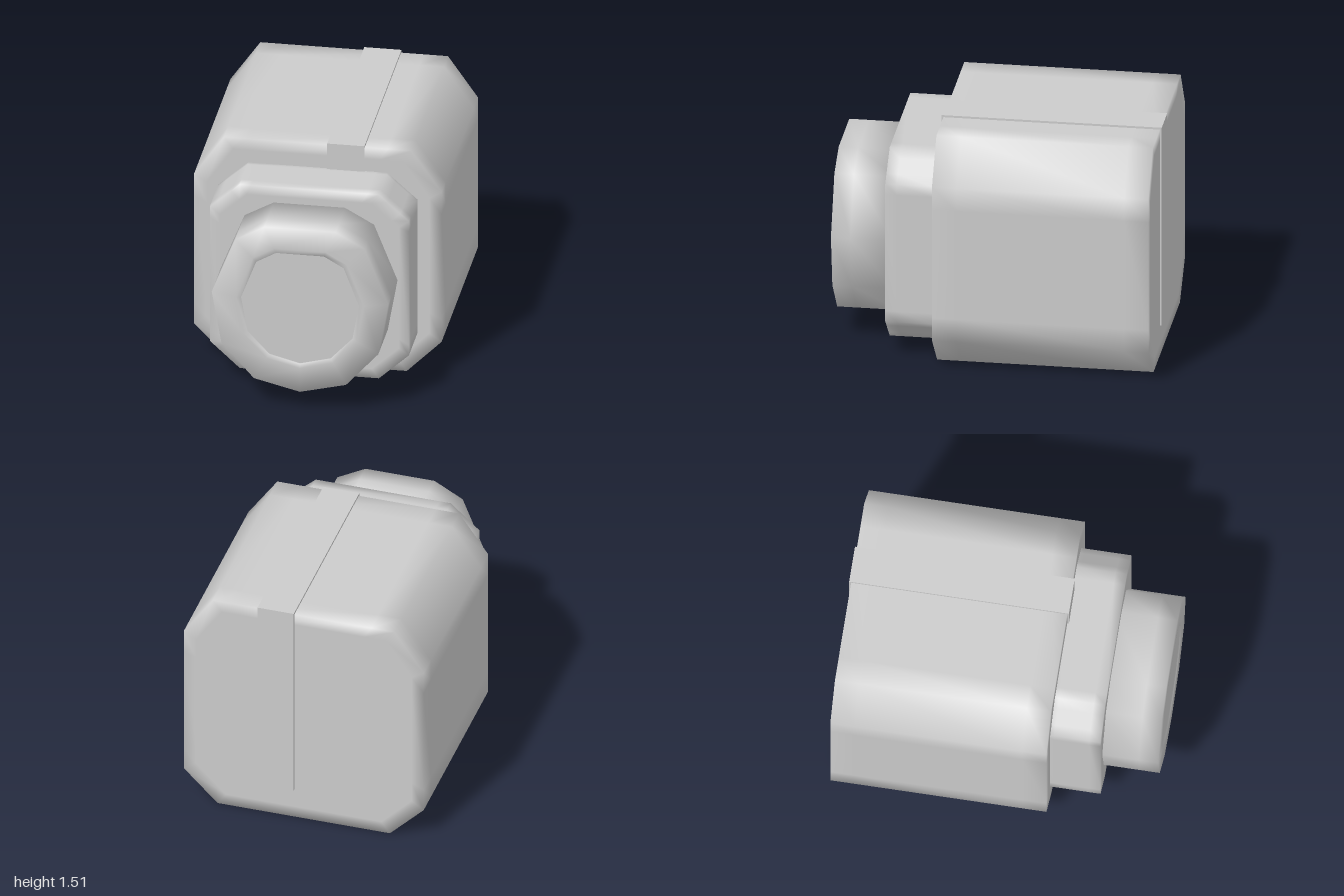
import * as THREE from 'three';

const material = new THREE.MeshStandardMaterial({ color: 0xcccccc, side: THREE.DoubleSide });

// Full outline, counter-clockwise from the front, from its right half listed top to bottom
function mirrorOutline(half) {
  const left = half.filter(([x]) => x > 0).map(([x, y]) => [-x, y]);
  return [...left, ...half.slice().reverse()];
}

// Adds points near the corners of long edges so smooth shading stays close to the corners
function addSupportPoints(outline, d) {
  const result = [];
  outline.forEach(([x, y], i) => {
    const [nx, ny] = outline[(i + 1) % outline.length];
    const t = d / Math.hypot(nx - x, ny - y);
    result.push([x, y]);
    if (t < 0.3) for (const s of [t, 1 - t]) result.push([x + (nx - x) * s, y + (ny - y) * s]);
  });
  return result;
}

function scaleOutline(outline, s, cy) {
  return outline.map(([x, y]) => [x * s, cy + (y - cy) * s]);
}

// Skins rings of { z, points } from back to front and closes both ends
function loft(name, rings, cy) {
  const n = rings[0].points.length;
  const positions = [];
  const index = [];
  for (const { z, points } of rings) for (const [x, y] of points) positions.push(x, y, z);
  for (let k = 0; k < rings.length - 1; k++) {
    for (let i = 0; i < n; i++) {
      const a = k * n + i, b = k * n + (i + 1) % n;
      index.push(a, b, b + n, a, b + n, a + n);
    }
  }
  const back = rings.length * n, front = back + 1, last = back - n;
  positions.push(0, cy, rings[0].z, 0, cy, rings[rings.length - 1].z);
  for (let i = 0; i < n; i++) {
    const j = (i + 1) % n;
    index.push(back, j, i, front, last + i, last + j);
  }
  const geometry = new THREE.BufferGeometry();
  geometry.setAttribute('position', new THREE.Float32BufferAttribute(positions, 3));
  geometry.setIndex(index);
  geometry.computeVertexNormals();
  const mesh = new THREE.Mesh(geometry, material);
  mesh.name = name;
  return mesh;
}

// Chamfered block with softly shaded edges
function block(name, half, z0, z1, cy, inset, soft) {
  const outer = addSupportPoints(mirrorOutline(half), soft);
  const inner = scaleOutline(outer, inset, cy);
  return loft(name, [
    { z: z0, points: inner }, { z: z0, points: outer }, { z: z0 + soft, points: outer },
    { z: z1 - soft, points: outer }, { z: z1, points: outer }, { z: z1, points: inner },
  ], cy);
}

export function createModel() {
  const model = new THREE.Group();
  model.name = 'model';

  // Large chamfered body and the stepped collar in front of it
  model.add(block('body', [[0.58, 1.495], [0.765, 1.23], [0.765, 0.215], [0.55, 0]],
    -0.988, 0.345, 0.75, 0.9, 0.15));
  model.add(block('collar', [[0.43, 1.335], [0.615, 1.17], [0.615, 0.26], [0.43, 0.09]],
    0.3, 0.655, 0.71, 0.9, 0.07));

  // Eleven-sided front cap with a shallow opening
  const outer = mirrorOutline([[0.22, 1.23], [0.4, 1.13], [0.545, 0.765], [0.485, 0.425], [0.285, 0.2], [0, 0.13]]);
  const inner = mirrorOutline([[0.148, 1.06], [0.27, 0.99], [0.365, 0.74], [0.325, 0.515], [0.19, 0.37], [0, 0.32]]);
  model.add(loft('frontCap', [
    { z: 0.62, points: outer }, { z: 0.88, points: outer }, { z: 1, points: outer },
    { z: 1, points: scaleOutline(inner, 1.08, 0.71) }, { z: 1, points: inner }, { z: 0.985, points: inner },
  ], 0.71));

  // Flat disc in the cap
  const discShape = new THREE.Shape(inner.map(([x, y]) => new THREE.Vector2(x, y)));
  const disc = new THREE.Mesh(new THREE.ShapeGeometry(discShape), material);
  disc.name = 'frontDisc';
  disc.position.z = 0.992;
  model.add(disc);

  // Off-centre strap running over the top and down the back
  const strapProfile = [
    [-0.355, 1.28], [-0.355, 1.508], [1, 1.508], [1, 0.2],
    [0.96, 0.2], [0.96, 1.46], [-0.31, 1.46], [-0.31, 1.28],
  ];
  const strapShape = new THREE.Shape(strapProfile.map(([u, y]) => new THREE.Vector2(u, y)));
  const strapGeometry = new THREE.ExtrudeGeometry(strapShape, { depth: 0.23, bevelEnabled: false });
  strapGeometry.rotateY(Math.PI / 2);
  const strap = new THREE.Mesh(strapGeometry, material);
  strap.name = 'strap';
  strap.position.x = 0.06;
  model.add(strap);

  return model;
}
